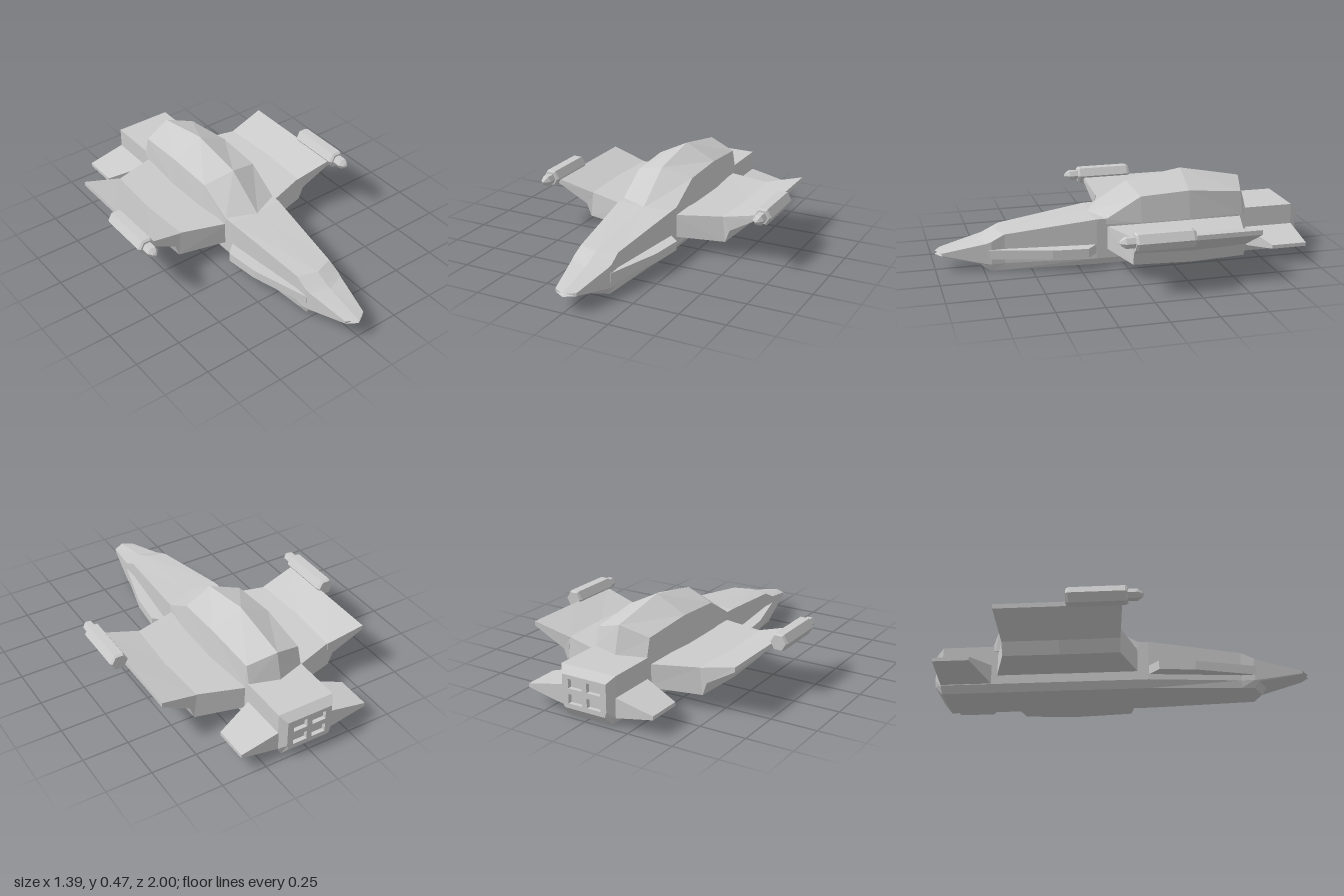
import * as THREE from 'three';

const grey = new THREE.MeshStandardMaterial({ color: 0xcccccc, flatShading: true });

function addMesh(parent, geometry, name) {
  const geo = geometry.index ? geometry.toNonIndexed() : geometry;
  geo.computeVertexNormals();
  const mesh = new THREE.Mesh(geo, grey);
  mesh.name = name;
  parent.add(mesh);
  return mesh;
}

// Skin a row of equal-length point loops with faceted panels, facing outward
function loft(loops, capStart = true, capEnd = true) {
  const V = loops.map((l) => l.map((p) => new THREE.Vector3(...p)));
  const tris = [];
  const n = V[0].length;
  for (let i = 0; i < V.length - 1; i++) {
    for (let j = 0; j < n; j++) {
      const k = (j + 1) % n;
      tris.push([V[i][j], V[i][k], V[i + 1][k]], [V[i][j], V[i + 1][k], V[i + 1][j]]);
    }
  }
  const cap = (loop, flip) => {
    const c = loop.reduce((s, p) => s.add(p), new THREE.Vector3()).divideScalar(n);
    loop.forEach((p, j) => {
      const q = loop[(j + 1) % n];
      tris.push(flip ? [c, q, p] : [c, p, q]);
    });
  };
  if (capStart) cap(V[0], true);
  if (capEnd) cap(V[V.length - 1], false);
  // the sign of the enclosed volume about the middle decides the corner order
  const mid = V.flat().reduce((s, p) => s.add(p), new THREE.Vector3()).divideScalar(n * V.length);
  const rel = (p) => p.clone().sub(mid);
  const volume = tris.reduce((s, [a, b, c]) => s + rel(a).dot(rel(b).cross(rel(c))), 0);
  const solid = tris.filter(([a, b, c]) =>
    b.clone().sub(a).cross(c.clone().sub(a)).length() > 1e-7);
  const points = solid.flatMap(([a, b, c]) => (volume < 0 ? [a, c, b] : [a, b, c]));
  return new THREE.BufferGeometry().setFromPoints(points);
}

// Complete a half loop (first and last points on the centre line) by mirroring
const mirrorLoop = (half) => [
  ...half,
  ...half.slice(1, -1).reverse().map(([x, y, z]) => [-x, y, z]),
];

const rectangle = (path, x0, x1, y0, y1) => {
  path.moveTo(x0, y0);
  path.lineTo(x1, y0);
  path.lineTo(x1, y1);
  path.lineTo(x0, y1);
  path.closePath();
  return path;
};

export function createModel() {
  const model = new THREE.Group();
  model.name = 'spacecraft';

  // Hull: z, centre-line offset, half width, top, side bottom, keel half width, keel
  const hull = [
    [-1, 0, 0.13, 0.225, 0.08, 0.12, 0.05],
    [-0.96, 0, 0.16, 0.26, 0.04, 0.135, 0],
    [0.15, 0.01, 0.16, 0.26, 0.04, 0.135, 0],
    [0.64, 0.035, 0.107, 0.2, 0.04, 0.1, 0],
    [0.71, 0.04, 0.11, 0.165, 0.04, 0.095, 0],
    [0.735, 0.04, 0.105, 0.155, 0.042, 0.1, 0.035],
    [0.965, 0.035, 0.06, 0.106, 0.092, 0.057, 0.088],
  ].map(([z, dz, w, top, low, wk, keel]) => mirrorLoop([
    [0, top, z + dz], [w, top, z], [w, low, z], [wk, keel, z], [0, keel, z + dz],
  ]));
  addMesh(model, loft(hull, false, true), 'hull');

  // Engine plate with four recessed exhausts
  const plate = new THREE.Shape(hull[0].map(([x, y]) => new THREE.Vector2(x, y)));
  for (const x of [-0.055, 0.055]) {
    for (const y of [0.1, 0.18]) {
      plate.holes.push(rectangle(new THREE.Path(), x - 0.04, x + 0.04, y - 0.025, y + 0.025));
    }
  }
  const plateGeo = new THREE.ExtrudeGeometry(plate, { depth: 0.025, bevelEnabled: false });
  addMesh(model, plateGeo, 'enginePlate').position.z = -1;
  const back = addMesh(model, new THREE.BoxGeometry(0.23, 0.14, 0.01), 'exhaustBack');
  back.position.set(0, 0.14, -0.972);

  // Cabin: ridge, eave and base at each station
  const cabin = [
    [[0, 0.257, 0.17], [0.16, 0.257, 0.1], [0.162, 0.23, 0.1]],
    [[0, 0.418, -0.05], [0.165, 0.37, -0.09], [0.185, 0.23, -0.09]],
    [[0, 0.47, -0.36], [0.17, 0.385, -0.36], [0.19, 0.23, -0.36]],
    [[0, 0.405, -0.7], [0.155, 0.355, -0.66], [0.166, 0.23, -0.67]],
    [[0, 0.255, -0.74], [0.157, 0.255, -0.69], [0.158, 0.23, -0.69]],
  ].map(([ridge, eave, base]) => mirrorLoop([ridge, eave, base, [0, 0.23, base[2]]]));
  addMesh(model, loft(cabin), 'cabin');

  for (const [s, side] of [[1, 'left'], [-1, 'right']]) {
    const flip = (loops) => loops.map((l) => l.map(([x, y, z]) => [s * x, y, z]));

    // Wing: top x, top y, bottom x, bottom y, front z, rear z, bulge at mid chord
    const wing = [
      [0.13, 0.215, 0.13, 0.09, 0.1, -0.668, 0],
      [0.4, 0.225, 0.415, 0.082, 0.02, -0.587, 0.01],
      [0.4, 0.225, 0.44, 0.152, 0.023, -0.59, 0.01],
      [0.61, 0.28, 0.61, 0.255, 0.045, -0.612, 0],
    ].map(([xt, yt, xb, yb, zf, zr, b]) => [
      [xt, yt, zf], [xb, yb, zf], [xb + b, yb - b * 0.7, -0.29],
      [xb, yb, zr], [xt, yt, zr], [xt + b * 1.5, yt, -0.29],
    ]);
    addMesh(model, loft(flip(wing)), side + 'Wing');

    // Hexagonal pod with a stepped pointed nose on the wing tip
    const profile = [[0, -0.235], [0.043, -0.235], [0.05, -0.22], [0.05, 0.065],
      [0.041, 0.077], [0.031, 0.077], [0.031, 0.125], [0.015, 0.148], [0, 0.158]]
      .map(([r, z]) => new THREE.Vector2(r, z));
    const podGeo = new THREE.LatheGeometry(profile, 6, Math.PI / 6).rotateX(Math.PI / 2);
    addMesh(model, podGeo, side + 'WingPod').position.set(s * 0.643, 0.287, 0);

    // Tail fin tapering toward a thin tip
    const fin = [
      [0.13, 0.155, 0.038, -0.68],
      [0.372, 0.105, 0.085, -0.77],
    ].map(([x, top, low, zf]) => [
      [x, top, zf], [x, low, zf], [x, low, -0.963], [x, top, -0.963],
    ]);
    addMesh(model, loft(flip(fin)), side + 'TailFin');

    // Flat fairing along the forward hull
    const outline = [[0.08, 0.72], [0.11, 0.72], [0.2, 0.4], [0.22, 0.21], [0.155, 0.15], [0.08, 0.15]];
    const fairing = [0.07, 0.12].map((y) => outline.map(([x, z]) => [x, y, z]));
    addMesh(model, loft(flip(fairing)), side + 'Fairing');
  }
  return model;
}
